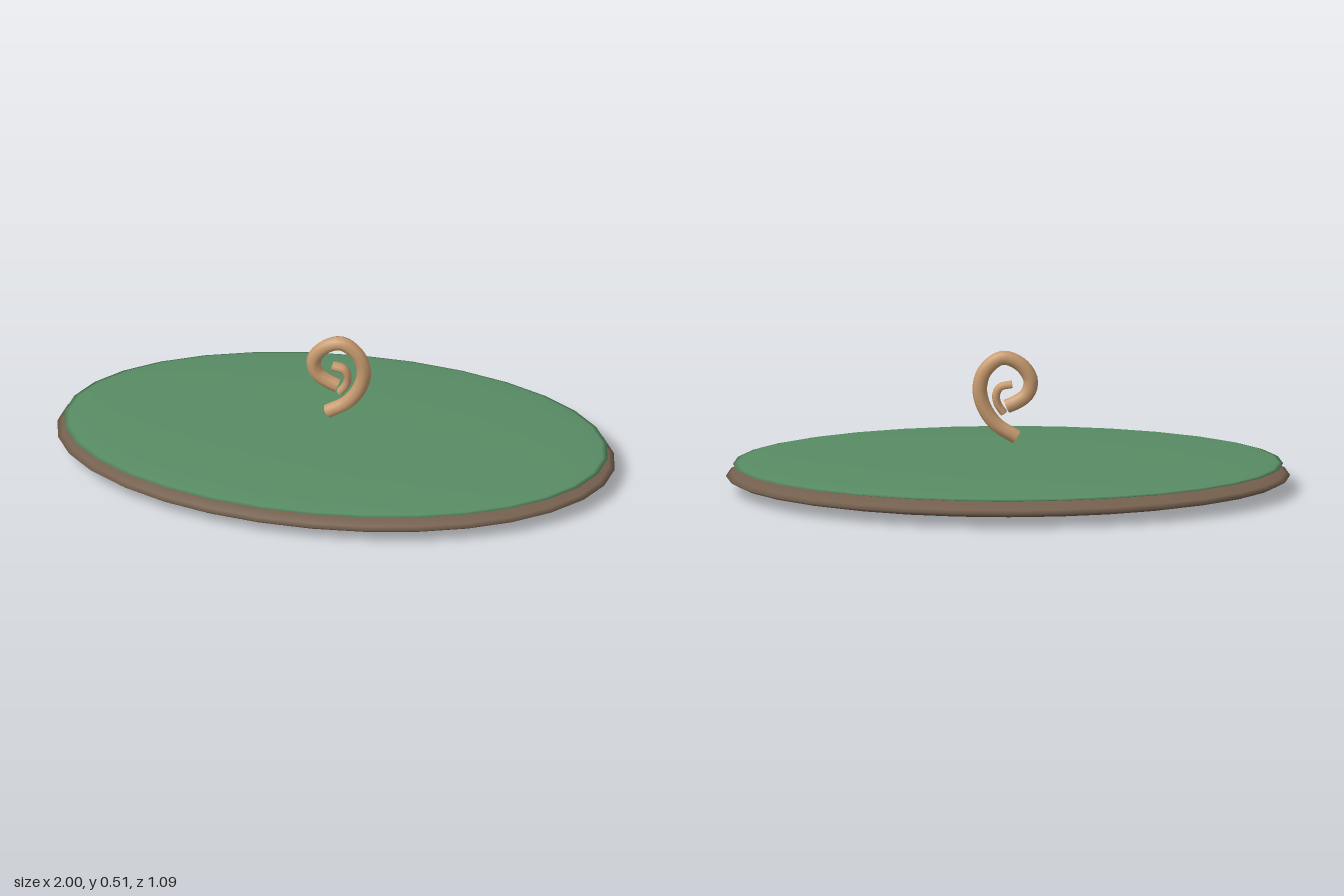
import * as THREE from 'three';

const material = (name, color, side = THREE.FrontSide) => {
  const m = new THREE.MeshStandardMaterial({ color, side });
  m.name = name;
  return m;
};

// Flattened sphere used for both layers of the oval mound
function disc(name, mat, rx, ry, rz, y) {
  const mesh = new THREE.Mesh(new THREE.SphereGeometry(1, 32, 16), mat);
  mesh.name = name;
  mesh.scale.set(rx, ry, rz);
  mesh.position.y = y;
  return mesh;
}

// Tube through points in the x-y plane, optionally widened in z
function tube(name, mat, points, radius, depth = 1) {
  const curve = new THREE.CatmullRomCurve3(points.map(([x, y]) => new THREE.Vector3(x, y, 0)));
  const mesh = new THREE.Mesh(new THREE.TubeGeometry(curve, 40, radius, 8), mat);
  mesh.name = name;
  mesh.scale.z = depth;
  return mesh;
}

export function createModel() {
  const model = new THREE.Group();
  model.name = 'ovalIslandWithCurl';
  const earth = material('earth brown', 0x75604e);
  const grass = material('grass green', 0x588c64);
  const tan = material('tan', 0xc99c70, THREE.DoubleSide);

  // Brown base with a thin green top
  model.add(disc('earthBase', earth, 1, 0.057, 0.545, 0.059));
  model.add(disc('grassTop', grass, 0.975, 0.02, 0.525, 0.102));

  // Floating curl: large outer loop and a narrow inner hook
  const curl = new THREE.Group();
  curl.name = 'curl';
  curl.add(tube('outerCurl', tan, [
    [-0.03, 0.2], [0.04, 0.245], [0.085, 0.31], [0.1, 0.38], [0.08, 0.445],
    [0.02, 0.49], [-0.045, 0.465], [-0.08, 0.41], [-0.07, 0.36], [-0.035, 0.33], [0.005, 0.312],
  ], 0.026));
  curl.add(tube('innerCurl', tan, [
    [0.015, 0.288], [0.037, 0.322], [0.042, 0.355], [0.028, 0.382], [-0.014, 0.393],
  ], 0.014, 1.7));
  model.add(curl);
  return model;
}
